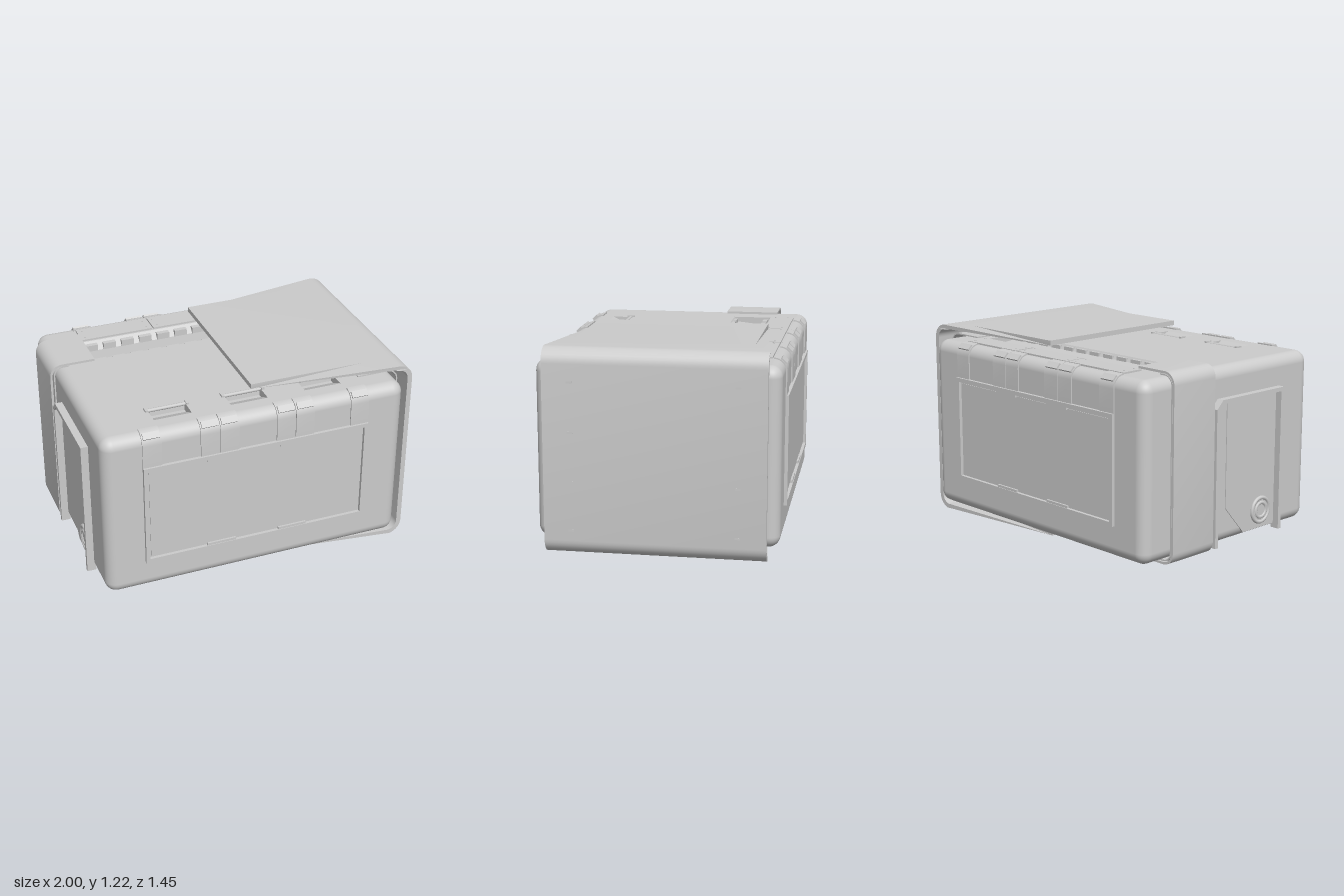
import * as THREE from 'three';
import { toCreasedNormals } from 'three/addons/utils/BufferGeometryUtils.js';
import { RoundedBoxGeometry } from 'three/addons/geometries/RoundedBoxGeometry.js';

const mat = new THREE.MeshStandardMaterial({ color: 0xcccccc });
const matDouble = new THREE.MeshStandardMaterial({ color: 0xcccccc, side: THREE.DoubleSide });

// Body limits and edge radius
const X0 = -0.955, X1 = 0.925, Y0 = 0.07, Y1 = 1.13, Z0 = -0.712, Z1 = 0.702, R = 0.07;

function add(parent, name, geo, material = mat) {
  const mesh = new THREE.Mesh(geo, material);
  mesh.name = name;
  parent.add(mesh);
  return mesh;
}

function box(parent, name, x0, x1, y0, y1, z0, z1) {
  const mesh = add(parent, name, new THREE.BoxGeometry(x1 - x0, y1 - y0, z1 - z0));
  mesh.position.set((x0 + x1) / 2, (y0 + y1) / 2, (z0 + z1) / 2);
  return mesh;
}

function rect(C, x0, x1, y0, y1) {
  return new C([[x0, y0], [x1, y0], [x1, y1], [x0, y1]].map(p => new THREE.Vector2(...p)));
}

function arc(cx, cy, r, a0, a1, n = 8) {
  return Array.from({ length: n + 1 }, (_, i) => {
    const a = a0 + (a1 - a0) * i / n;
    return [cx + r * Math.cos(a), cy + r * Math.sin(a)];
  });
}

// Extrudes a profile given as (z, y) points along x
function extrudeX(parent, name, pts, x0, x1) {
  const shape = new THREE.Shape(pts.map(([z, y]) => new THREE.Vector2(-z, y)));
  const geo = new THREE.ExtrudeGeometry(shape, { depth: x1 - x0, bevelEnabled: false });
  geo.rotateY(Math.PI / 2).translate(x0, 0, 0);
  return add(parent, name, toCreasedNormals(geo, 0.6));
}

// Sunken pocket: floor strips along a (z, y) profile plus two end walls
function pocket(parent, name, x0, x1, pts) {
  const v = [];
  for (let i = 0; i < pts.length - 1; i++) {
    const [za, ya] = pts[i], [zb, yb] = pts[i + 1];
    v.push(x0, ya, za, x0, yb, zb, x1, yb, zb, x0, ya, za, x1, yb, zb, x1, ya, za);
    if (i > 0) for (const x of [x0, x1]) v.push(x, pts[0][1], pts[0][0], x, ya, za, x, yb, zb);
  }
  const geo = new THREE.BufferGeometry();
  geo.setAttribute('position', new THREE.Float32BufferAttribute(v, 3));
  geo.computeVertexNormals();
  add(parent, name, geo, matDouble);
}

// C-shaped wrap around one side; zRange(x) gives its depth limits
function wrap(parent, name, side, xIn, xOut, y0, y1, r, t, zRange, breaks = []) {
  const h = Math.PI / 2, rev = [...breaks].reverse();
  const pts = [
    [xIn, y0], ...breaks.map(x => [x, y0]), ...arc(xOut - r, y0 + r, r, -h, 0),
    ...arc(xOut - r, y1 - r, r, 0, h), ...rev.map(x => [x, y1]), [xIn, y1],
    [xIn, y1 - t], ...breaks.map(x => [x, y1 - t]), ...arc(xOut - r, y1 - r, r - t, h, 0),
    ...arc(xOut - r, y0 + r, r - t, 0, -h), ...rev.map(x => [x, y0 + t]), [xIn, y0 + t]
  ];
  const shape = new THREE.Shape(pts.map(([x, y]) => new THREE.Vector2(side * x, y)));
  const geo = new THREE.ExtrudeGeometry(shape, { depth: 1, bevelEnabled: false });
  const p = geo.attributes.position;
  for (let i = 0; i < p.count; i++) {
    const [a, b] = zRange(Math.abs(p.getX(i)));
    p.setZ(i, a + (b - a) * p.getZ(i));
  }
  return add(parent, name, toCreasedNormals(geo, 0.6));
}

function buildBody(g) {
  // Rounded case whose flat top is replaced by one with openings
  const rb = new RoundedBoxGeometry(X1 - X0, Y1 - Y0, Z1 - Z0, 6, R);
  rb.translate((X0 + X1) / 2, (Y0 + Y1) / 2, (Z0 + Z1) / 2);
  const src = rb.attributes.position, nor = rb.attributes.normal, pos = [], nrm = [];
  for (let i = 0; i < src.count; i += 3) {
    if ([0, 1, 2].every(k => src.getY(i + k) > Y1 - 1e-4)) continue;
    for (let k = i; k < i + 3; k++) {
      pos.push(src.getX(k), src.getY(k), src.getZ(k));
      nrm.push(nor.getX(k), nor.getY(k), nor.getZ(k));
    }
  }
  const shell = new THREE.BufferGeometry();
  shell.setAttribute('position', new THREE.Float32BufferAttribute(pos, 3));
  shell.setAttribute('normal', new THREE.Float32BufferAttribute(nrm, 3));
  add(g, 'bodyShell', shell);

  const top = rect(THREE.Shape, X0 + R, X1 - R, -(Z1 - R), -(Z0 + R));
  top.holes.push(rect(THREE.Path, -0.72, 0.69, 0.24, 0.48));

  // Long channel with two rows of blocks
  pocket(g, 'topChannel', -0.72, 0.69, [[-0.48, Y1], [-0.44, Y1 - 0.05], [-0.26, Y1 - 0.03], [-0.24, Y1]]);
  for (let i = 0; i < 12; i++) {
    const x = -0.705 + i * 0.1175;
    box(g, 'rearChannelBlock', x, x + 0.08, Y1 - 0.05, Y1 - 0.01, -0.465, -0.435);
    box(g, 'frontChannelBlock', x, x + 0.08, Y1 - 0.04, Y1 - 0.008, -0.265, -0.24);
  }

  // Grip pockets with ramped floors and bars
  for (const x of [-0.485, -0.015, 0.45]) {
    top.holes.push(rect(THREE.Path, x - 0.115, x + 0.115, -0.56, -0.43));
    pocket(g, 'gripPocket', x - 0.115, x + 0.115, [[0.43, Y1], [0.435, Y1 - 0.05], [0.46, Y1 - 0.05], [0.56, Y1]]);
    const bar = add(g, 'gripBar', new THREE.CylinderGeometry(0.011, 0.011, 0.25, 12));
    bar.rotation.z = Math.PI / 2;
    bar.position.set(x, Y1 - 0.004, 0.443);
    for (const s of [-1, 1]) {
      box(g, 'gripBarEar', x + s * 0.125 - 0.008, x + s * 0.125 + 0.008, Y1 - 0.02, Y1 + 0.01, 0.42, 0.465);
    }
  }
  add(g, 'bodyTop', new THREE.ShapeGeometry(top).rotateX(-Math.PI / 2).translate(0, Y1, 0));
}

// Framed window, edge bands and latches on the front (s = 1) or back (s = -1)
function buildFace(g, s) {
  const zf = s > 0 ? Z1 : Z0;
  const frame = rect(THREE.Shape, -0.72, 0.685, 0.265, 0.92);
  frame.holes.push(rect(THREE.Path, -0.695, 0.66, 0.29, 0.895));
  const geo = new THREE.ExtrudeGeometry(frame, { depth: 0.03, bevelEnabled: false });
  add(g, 'windowFrame', geo).position.z = s > 0 ? zf - 0.01 : zf - 0.02;
  box(g, 'windowPanel', -0.685, 0.65, 0.30, 0.885, zf - 0.004, zf + 0.004);
  for (const x of [-0.245, 0.21]) {
    for (const y of [0.295, 0.89]) box(g, 'panelTab', x - 0.09, x + 0.09, y - 0.01, y + 0.01, zf - 0.016, zf + 0.016);
  }

  const cz = zf - s * R, cy = Y1 - R, o = 0.008;
  const mapZ = pts => pts.map(([z, y]) => [cz + s * z, cy + y]);
  const band = mapZ([[R + o, -0.14], ...arc(0, 0, R + o, 0, Math.PI / 2),
    ...arc(0, 0, R - 0.01, Math.PI / 2, 0), [R - 0.01, -0.14]]);
  for (const [a, b] of [[-0.72, -0.605], [-0.37, -0.254], [-0.25, -0.135], [0.1, 0.216], [0.22, 0.335], [0.57, 0.685]]) {
    extrudeX(g, 'edgeBand', band, a, b);
    const latch = box(g, 'edgeLatch', a + 0.008, b - 0.008, -0.02, 0.02, -0.009, 0.009);
    latch.rotation.x = -s * Math.PI / 4;
    latch.position.set((a + b) / 2, cy + 0.055, cz + s * 0.055);
  }
}

function buildSidePanel(g) {
  // Ribbed frame around a thin plate on the left of the front
  const rib = new THREE.Shape([[-0.17, 0.07], [-0.17, 0.9], [-0.12, 0.95], [0.42, 0.95], [0.42, 0.07], [0.395, 0.07],
    [0.395, 0.925], [-0.11, 0.925], [-0.145, 0.89], [-0.145, 0.07]].map(p => new THREE.Vector2(...p)));
  const plate = new THREE.Shape([[-0.04, 0.925], [0.395, 0.925], [0.395, 0.1], [0.12, 0.1], [-0.04, 0.28]]
    .map(p => new THREE.Vector2(...p)));
  for (const [name, shape, depth] of [['sideRib', rib, 0.055], ['sidePlate', plate, 0.015]]) {
    const geo = new THREE.ExtrudeGeometry(shape, { depth, bevelEnabled: false });
    add(g, name, geo.rotateY(-Math.PI / 2).translate(X0 + 0.01, 0, 0));
  }
  // Round port
  for (const r of [0.075, 0.045]) {
    const ring = add(g, 'portRing', new THREE.TorusGeometry(r, 0.012, 10, 32));
    ring.rotation.y = Math.PI / 2;
    ring.position.set(X0 - 0.008, 0.21, 0.27);
  }
  const cap = add(g, 'portCap', new THREE.CylinderGeometry(0.07, 0.07, 0.02, 32));
  cap.rotation.z = Math.PI / 2;
  cap.position.set(X0 - 0.003, 0.21, 0.27);
}

export function createModel() {
  const model = new THREE.Group();
  model.name = 'case';
  const part = name => {
    const g = new THREE.Group();
    g.name = name;
    model.add(g);
    return g;
  };
  buildBody(part('body'));
  buildFace(part('frontFace'), 1);
  buildFace(part('backFace'), -1);

  // Cover plates along the top rear edge
  const rear = part('rearCovers');
  for (const [a, b] of [[-0.71, -0.25], [-0.24, 0.205], [0.225, 0.68]]) {
    box(rear, 'rearCover', a, b, Y1 - 0.01, Y1 + 0.01, -0.635, -0.49);
    for (const x of [a + 0.03, b - 0.03]) {
      for (const z of [-0.6, -0.52]) {
        const dot = add(rear, 'coverScrew', new THREE.CylinderGeometry(0.005, 0.005, 0.004, 8));
        dot.position.set(x, Y1 + 0.011, z);
      }
    }
  }

  // Large wrap whose flanges narrow away from the side wall
  const shield = part('sideShield');
  const taper = x => {
    const k = THREE.MathUtils.clamp((x - 0.73) / 0.18, 0, 1);
    return [-0.54 - 0.105 * k, 0.52 + 0.12 * k];
  };
  wrap(shield, 'outerShield', 1, 0.01, 1, 0, 1.215, 0.09, 0.03, taper, [0.73]);
  wrap(shield, 'innerShield', 1, 0.68, 0.945, 0.035, 1.155, 0.07, 0.008, () => [-0.56, 0.56]);
  for (const y of [0.15, 0.44, 0.73, 1.02]) {
    for (const z of [-0.48, 0.48]) box(shield, 'spacer', 0.92, 1.001, y - 0.006, y + 0.006, z - 0.016, z + 0.016);
  }

  // Narrow wrap on the opposite side
  const strap = part('sideStrap');
  wrap(strap, 'outerStrap', -1, 0.72, 1, 0.045, 1.165, 0.075, 0.014, () => [-0.525, -0.19]);
  wrap(strap, 'innerStrap', -1, 0.88, 0.975, 0.06, 1.145, 0.06, 0.008, () => [-0.515, -0.2]);

  buildSidePanel(part('sidePanel'));
  return model;
}
